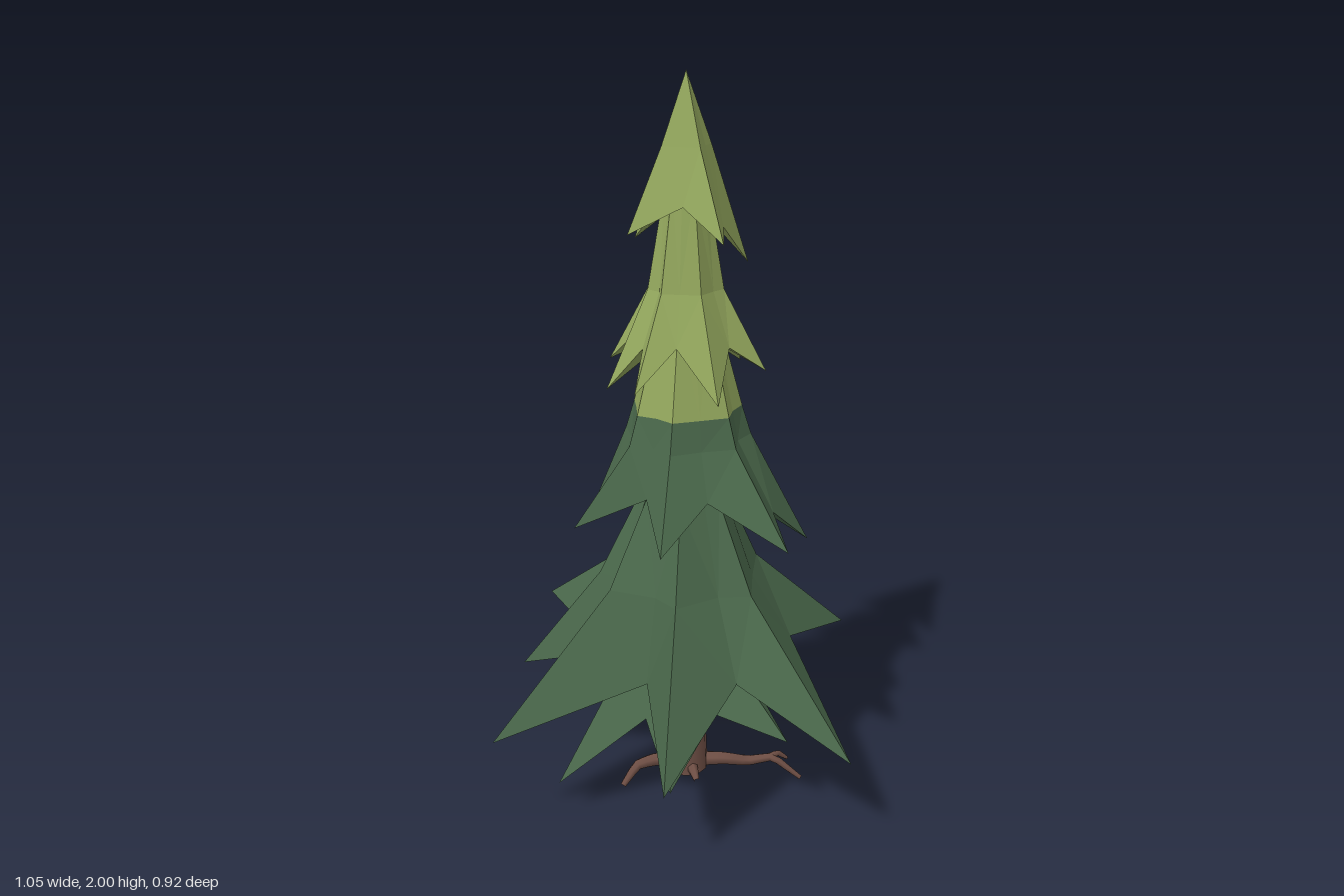
import * as THREE from 'three';

const CX = 0.02, CZ = -0.03; // trunk axis

const mat = (name, color, extra = {}) => {
  const m = new THREE.MeshStandardMaterial({ color, ...extra });
  m.name = name;
  return m;
};

// One star-shaped skirt of boughs.
// rings: [y, ridge radius, notch radius] from the top down
// rim: [x, y, z] points around the lower edge, a tip and a notch in turn
// lightAbove: bands above this height are light green
function boughTier(name, { rings, rim, hollow, lightAbove }, materials) {
  const n = rim.length;
  const rows = rings.map(([y, ridge, notch]) => rim.map(([x, , z], i) => {
    const a = Math.atan2(z - CZ, x - CX), r = i % 2 ? notch : ridge;
    return [CX + Math.cos(a) * r, y, CZ + Math.sin(a) * r];
  }));
  rows.push(rim);

  const pos = [];
  const geo = new THREE.BufferGeometry();
  const tri = (a, b, c) => pos.push(...a, ...b, ...c);
  for (let k = 0; k < rows.length - 1; k++) {
    const start = pos.length / 3, top = rows[k], low = rows[k + 1];
    for (let i = 0; i < n; i++) {
      const j = (i + 1) % n;
      if (i % 2 === 0) {
        if (rings[k][1] > 0) tri(top[i], top[j], low[j]);
        tri(top[i], low[j], low[i]);
      } else {
        if (rings[k][1] > 0) tri(top[i], top[j], low[i]);
        tri(top[j], low[j], low[i]);
      }
    }
    geo.addGroup(start, pos.length / 3 - start, low[1][1] >= lightAbove - 1e-6 ? 1 : 0);
  }
  // underside
  const start = pos.length / 3;
  for (let i = 0; i < n; i++) tri([CX, hollow, CZ], rim[i], rim[(i + 1) % n]);
  geo.addGroup(start, n * 3, lightAbove === 0 ? 1 : 0);
  geo.setAttribute('position', new THREE.Float32BufferAttribute(pos, 3));
  geo.computeVertexNormals();
  const mesh = new THREE.Mesh(geo, materials);
  mesh.name = name;
  return mesh;
}

// Tapered bent root
function root(points, r0, r1, material, name) {
  const curve = new THREE.CatmullRomCurve3(points.map(p => new THREE.Vector3(...p)), false, 'catmullrom', 0.2);
  const segs = points.length * 2, sides = 6;
  const geo = new THREE.TubeGeometry(curve, segs, 1, sides);
  const p = geo.attributes.position, v = new THREE.Vector3();
  for (let i = 0; i < p.count; i++) {
    const t = Math.floor(i / (sides + 1)) / segs;
    const c = curve.getPointAt(t);
    v.fromBufferAttribute(p, i).sub(c).multiplyScalar(r0 + (r1 - r0) * t).add(c);
    p.setXYZ(i, v.x, v.y, v.z);
  }
  const mesh = new THREE.Mesh(geo, material);
  mesh.name = name;
  return mesh;
}

export function createModel() {
  const tree = new THREE.Group();
  tree.name = 'pineTree';
  const leaf = { flatShading: true, side: THREE.DoubleSide };
  const greens = [mat('dark green', 0x4a684b, leaf), mat('light green', 0x93a75d, leaf)];
  const bark = mat('bark brown', 0x6f4f45);

  const tiers = {
    crownBoughs: {
      rings: [[2, 0, 0], [1.82, 0.07, 0.05]], hollow: 1.7, lightAbove: 0,
      rim: [[-0.1, 1.57, -0.13], [-0.01, 1.64, -0.12], [0.06, 1.53, -0.19], [0.1, 1.63, -0.1],
        [0.19, 1.51, -0.08], [0.11, 1.62, 0.01], [0.09, 1.6, 0.14], [0, 1.68, 0.06],
        [-0.135, 1.61, 0.03], [-0.07, 1.64, -0.05]],
    },
    upperBoughs: {
      rings: [[1.72, 0.055, 0.05], [1.46, 0.1, 0.085]], hollow: 1.36, lightAbove: 0,
      rim: [[-0.17, 1.25, -0.13], [-0.04, 1.33, -0.16], [0.06, 1.27, -0.25], [0.1, 1.33, -0.14],
        [0.19, 1.22, -0.17], [0.15, 1.33, -0.05], [0.22, 1.25, 0.04], [0.12, 1.32, 0.06],
        [0.075, 1.2, 0.175], [-0.02, 1.33, 0.09], [-0.13, 1.22, 0.115], [-0.1, 1.32, 0.04],
        [-0.19, 1.2, -0.01], [-0.12, 1.32, -0.07]],
    },
    middleBoughs: {
      rings: [[1.4, 0.08, 0.07], [1.14, 0.15, 0.13], [1.06, 0.175, 0.145]], hollow: 0.98, lightAbove: 1.14,
      rim: [[-0.21, 0.84, -0.17], [-0.06, 0.93, -0.17], [-0.02, 0.77, -0.35], [0.04, 0.93, -0.22],
        [0.265, 0.75, -0.26], [0.24, 0.87, -0.1], [0.355, 0.75, -0.01], [0.24, 0.87, 0.08],
        [0.25, 0.82, 0.24], [0.05, 0.94, 0.17], [-0.08, 0.82, 0.235], [-0.1, 0.93, 0.1],
        [-0.29, 0.87, 0.12], [-0.18, 0.92, -0.03]],
    },
    widestBoughs: {
      rings: [[1.05, 0.085, 0.07], [0.9, 0.12, 0.105], [0.66, 0.235, 0.185]], hollow: 0.58, lightAbove: 9,
      rim: [[-0.43, 0.38, -0.09], [-0.26, 0.45, -0.17], [-0.335, 0.43, -0.44], [-0.025, 0.45, -0.3],
        [0.13, 0.41, -0.46], [0.18, 0.45, -0.245], [0.525, 0.37, -0.25], [0.305, 0.48, 0.04],
        [0.395, 0.29, 0.41], [0.12, 0.45, 0.24], [-0.1, 0.26, 0.455], [-0.11, 0.43, 0.17],
        [-0.525, 0.3, 0.2], [-0.24, 0.44, 0]],
    },
    lowestBoughs: {
      rings: [[0.65, 0.11, 0.09], [0.42, 0.2, 0.15]], hollow: 0.39, lightAbove: 9,
      rim: [[-0.13, 0.11, -0.31], [0.04, 0.32, -0.22], [0.19, 0.18, -0.32], [0.17, 0.33, -0.16],
        [0.33, 0.25, -0.15], [0.21, 0.33, 0.04], [0.26, 0.27, 0.25], [0.08, 0.31, 0.15],
        [-0.07, 0.2, 0.345], [-0.11, 0.3, 0.13], [-0.35, 0.105, 0.11], [-0.15, 0.32, -0.1]],
    },
  };
  for (const [name, spec] of Object.entries(tiers)) tree.add(boughTier(name, spec, greens));

  // trunk
  const trunk = new THREE.Mesh(new THREE.CylinderGeometry(0.048, 0.065, 0.45, 12), bark);
  trunk.position.set(CX, 0.275, CZ);
  trunk.name = 'trunk';
  tree.add(trunk);

  // roots
  const roots = [
    ['longRoot', [[0.05, 0.065, -0.03], [0.13, 0.072, -0.01], [0.2, 0.058, -0.01], [0.27, 0.07, 0.0],
      [0.305, 0.045, 0.01], [0.35, 0.008, 0.02]], 0.024, 0.007],
    ['rootFork', [[0.26, 0.068, 0], [0.29, 0.07, -0.02], [0.32, 0.045, -0.03]], 0.012, 0.005],
    ['shortRoot', [[0, 0.07, -0.03], [-0.07, 0.07, -0.03], [-0.12, 0.062, -0.02], [-0.163, 0.012, 0.0]], 0.026, 0.009],
    ['frontRoot', [[0.03, 0.07, 0], [0.035, 0.07, 0.04], [0.04, 0.055, 0.07]], 0.022, 0.008],
    ['backRoot', [[0.02, 0.07, -0.06], [0.01, 0.07, -0.1], [0, 0.055, -0.13]], 0.022, 0.008],
  ];
  for (const [name, pts, r0, r1] of roots) tree.add(root(pts, r0, r1, bark, name));
  return tree;
}
